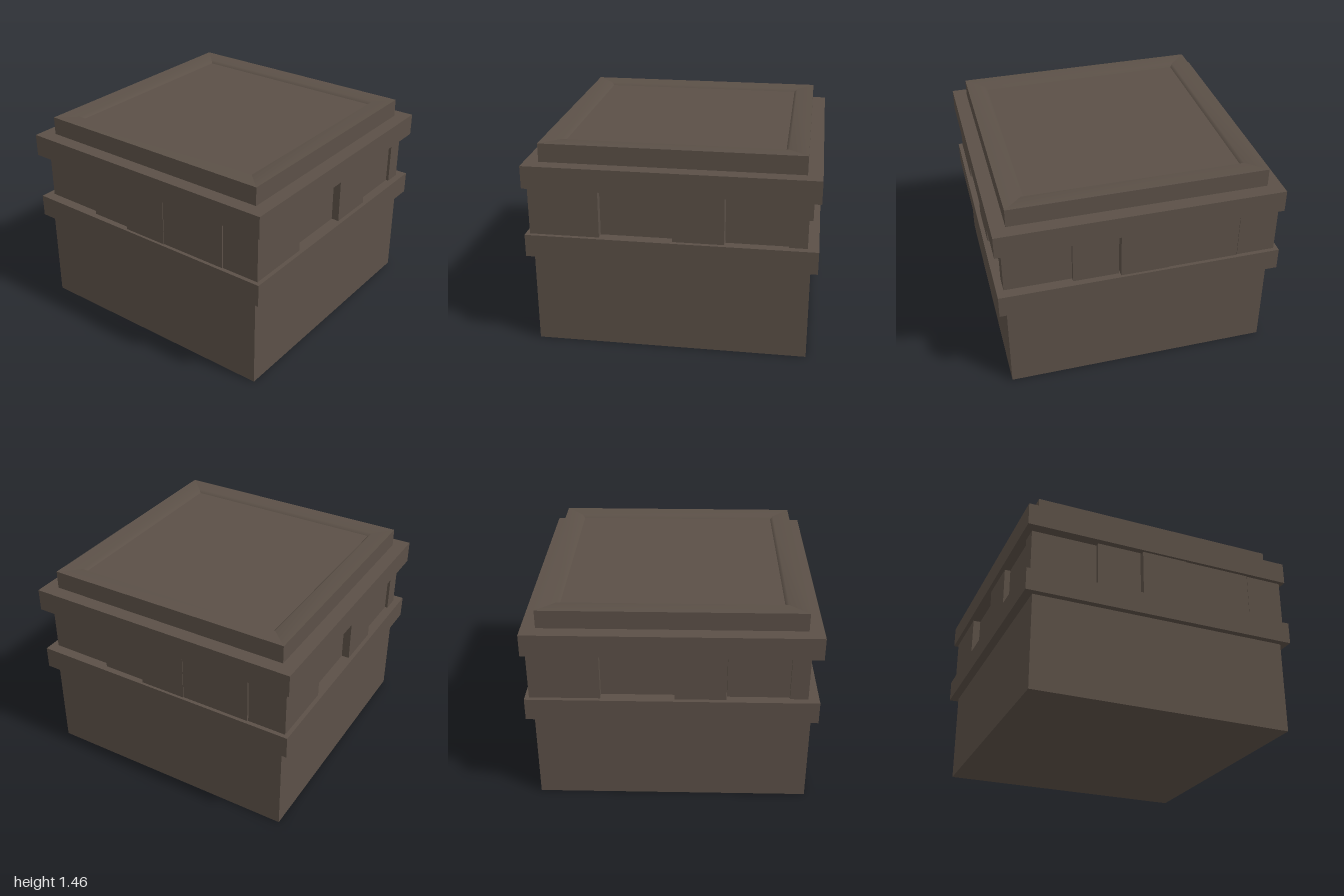
import * as THREE from 'three';

export function createModel() {
  const group = new THREE.Group();
  group.name = 'stonePlinth';
  const stone = new THREE.MeshStandardMaterial({ color: 0x5b5047 });
  stone.name = 'brown stone';

  const add = (name, geometry, parent = group) => {
    const mesh = new THREE.Mesh(geometry, stone);
    mesh.name = name;
    parent.add(mesh);
    return mesh;
  };
  const slab = (name, x0, x1, y0, y1, z0, z1, parent) =>
    add(name, new THREE.BoxGeometry(x1 - x0, y1 - y0, z1 - z0), parent)
      .position.set((x0 + x1) / 2, (y0 + y1) / 2, (z0 + z1) / 2);

  // Base and the two projecting bands
  slab('base', -0.955, 0.95, 0, 0.67, -0.94, 0.945);
  slab('lowerBand', -1, 1, 0.67, 0.83, -1, 1);
  slab('upperBand', -1, 1, 1.17, 1.33, -1, 1);

  // Uneven block course: the pair of sides repeats after a half turn
  slab('courseCore', -0.88, 0.88, 0.83, 1.17, -0.88, 0.88);
  const frontBlocks = [ // x start, x end, front depth
    [-0.97, -0.485, 0.97], [-0.485, 0.02, 0.915], [0.02, 0.37, 0.97], [0.375, 0.92, 0.93],
  ];
  const sideBlocks = [ // z start, z end, outer depth
    [0.48, 0.95, 0.925], [0.16, 0.48, 0.955], [-0.19, 0.15, 0.98],
    [-0.69, -0.19, 0.975], [-0.97, -0.695, 0.97],
  ];
  for (const turn of [0, Math.PI]) {
    const half = new THREE.Group();
    half.name = turn ? 'backLeftBlocks' : 'frontRightBlocks';
    half.rotation.y = turn;
    for (const [a, b, d] of frontBlocks) slab('frontBlock', a, b, 0.83, 1.17, 0.8, d, half);
    for (const [a, b, d] of sideBlocks) slab('sideBlock', 0.8, d, 0.83, 1.17, a, b, half);
    group.add(half);
  }

  // Cap: square rings joined into mitred strips
  const ringStrip = (name, rings) => {
    const corners = [[-1, 1], [1, 1], [1, -1], [-1, -1]];
    const pos = [], index = [];
    corners.forEach((c, side) => {
      const next = corners[(side + 1) % 4];
      rings.forEach(([r, y], k) => {
        const i = pos.length / 3;
        pos.push(c[0] * r, y, c[1] * r, next[0] * r, y, next[1] * r);
        if (k < rings.length - 1) index.push(i, i + 1, i + 3, i, i + 3, i + 2);
      });
    });
    const geometry = new THREE.BufferGeometry();
    geometry.setAttribute('position', new THREE.Float32BufferAttribute(pos, 3));
    geometry.setIndex(index);
    geometry.computeVertexNormals();
    add(name, geometry);
  };
  ringStrip('capSides', [[0.9, 1.33], [0.9, 1.46]]);
  ringStrip('capRim', [[0.9, 1.46], [0.77, 1.455], [0.75, 1.435]]);
  const panel = add('capPanel', new THREE.PlaneGeometry(1.5, 1.5));
  panel.rotation.x = -Math.PI / 2;
  panel.position.y = 1.435;

  return group;
}
